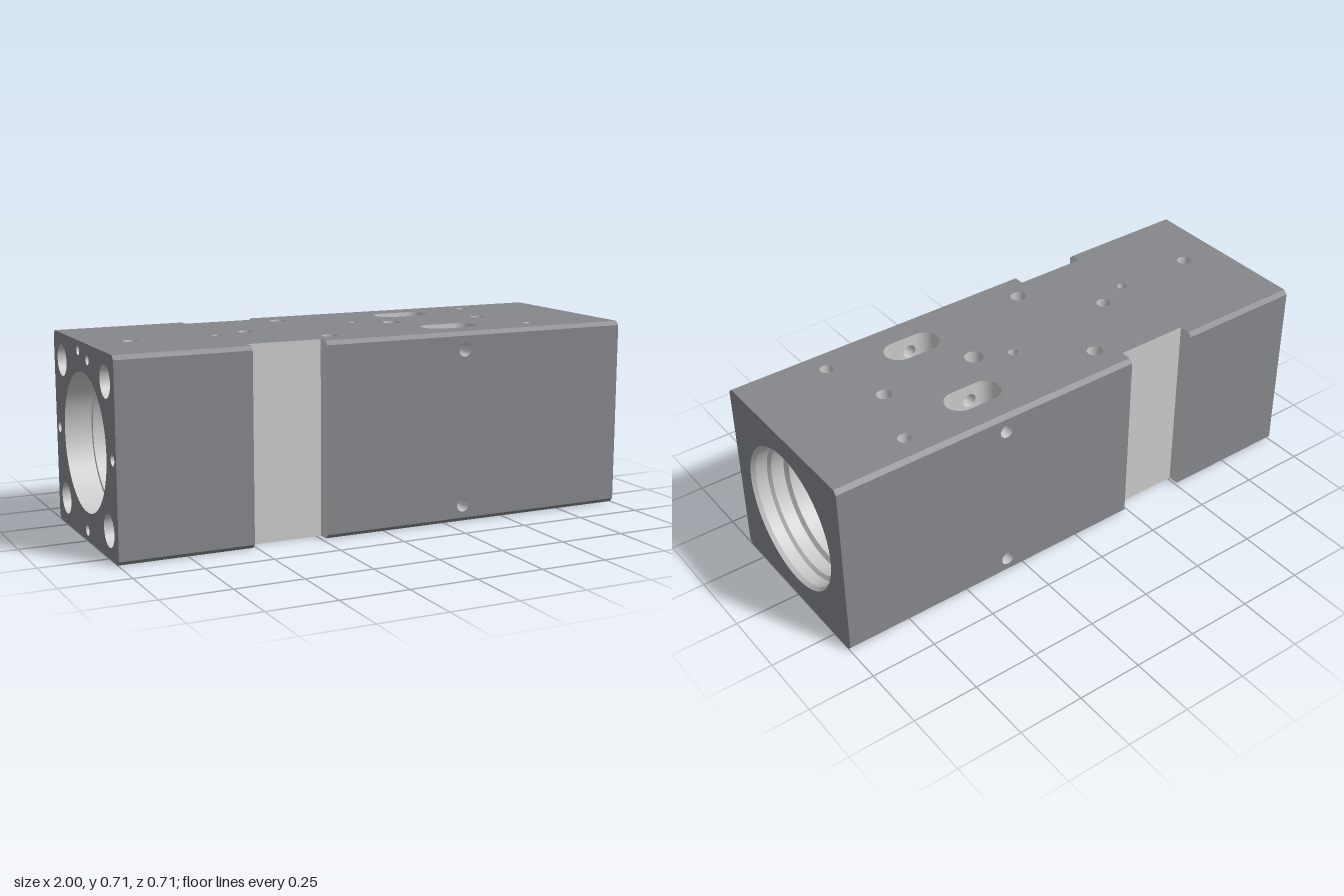
import * as THREE from 'three';
import { ParametricGeometry } from 'three/addons/geometries/ParametricGeometry.js';

const H = 0.355, C = 0.015, N = 0.3;          // half height, edge chamfer, half depth at the waist
const NX0 = -0.51, NX1 = -0.23;               // waist groove along x
const R = 0.23;                               // main bore radius
const SLOT = { x: 0.35, z: 0.19, half: 0.0525, r: 0.0575 };
const PIN = { x: 0.325, y: 0.29, r: 0.026 };  // cross holes

const mat = (color) => new THREE.MeshStandardMaterial({ color, side: THREE.DoubleSide });

export function createModel() {
  const model = new THREE.Group();
  const body = new THREE.Group();
  body.name = 'housing';
  body.position.y = H;
  model.add(body);
  const coated = mat(0x85878c), bare = mat(0xcccccc), dark = mat(0x151515);

  const add = (name, geo, material, parent = body) => {
    const m = new THREE.Mesh(geo, material);
    m.name = name;
    parent.add(m);
    return m;
  };
  const circle = (x, y, r) => new THREE.Path().absarc(x, y, r, 0, Math.PI * 2, true);
  const panel = (pts, holes = []) => {
    const s = new THREE.Shape(pts.map(([x, y]) => new THREE.Vector2(x, y)));
    s.holes.push(...holes);
    return new THREE.ShapeGeometry(s, 32);
  };
  const rect = (x0, x1, y0, y1) => [[x0, y0], [x1, y0], [x1, y1], [x0, y1]];

  // A face frame has its local z pointing out of the block
  const frame = (name, rx, ry) => {
    const g = new THREE.Group();
    g.name = name;
    g.rotation.set(rx, ry, 0);
    body.add(g);
    return g;
  };
  const bore = (name, g, x, y, r, from, to, capMat) => {
    const tube = add(name, new THREE.CylinderGeometry(r, r, from - to, 32, 1, true), bare, g);
    tube.rotation.x = Math.PI / 2;
    tube.position.set(x, y, (from + to) / 2);
    if (capMat) add(name + 'Floor', new THREE.CircleGeometry(r, 32), capMat, g).position.set(x, y, to);
  };
  const slotPath = (z) => {
    const p = new THREE.Path();
    p.absarc(SLOT.x + SLOT.half, z, SLOT.r, -Math.PI / 2, Math.PI / 2, false);
    p.absarc(SLOT.x - SLOT.half, z, SLOT.r, Math.PI / 2, Math.PI * 1.5, false);
    return p;
  };

  // Top and bottom faces: [x, z, radius, depth, floor material]
  const pairs = [-1, 1].map((s) => [-0.16, s * 0.23, 0.03, 0.27, dark]);
  const through = [-1, 1].map((s) => [0.67, s * 0.25, 0.025, 2 * H, null]);
  const screws = [
    [-0.84, 0.05, 0.028, 0.09, bare], [-0.52, 0.05, 0.018, 0.09, bare],
    [-0.39, 0, 0.028, 0.09, bare], [0.08, -0.06, 0.018, 0.09, bare],
    [0.21, 0, 0.035, 0.09, bare], [0.59, 0, 0.028, 0.09, bare],
  ];
  const E = H - C;
  const outline = [[-1, -E], [NX0, -E], [NX0, -N], [NX1, -N], [NX1, -E], [1, -E],
    [1, E], [NX1, E], [NX1, N], [NX0, N], [NX0, E], [-1, E]];
  for (const s of [1, -1]) {
    const g = frame(s > 0 ? 'topFace' : 'bottomFace', -s * Math.PI / 2, 0);
    const holes = [...pairs, ...through, ...(s > 0 ? screws : [])];
    const cuts = holes.map(([x, z, r]) => circle(x, -s * z, r));
    add('plate', panel(outline, [...cuts, slotPath(SLOT.z), slotPath(-SLOT.z)]), coated, g).position.z = H;
    for (const [x, z, r, d, cap] of holes) {
      if (s > 0 || cap) bore('hole', g, x, -s * z, r, H, H - d, cap);
    }
  }

  // Front and back faces, chamfers and waist grooves
  for (const s of [1, -1]) {
    const g = frame(s > 0 ? 'frontFace' : 'backFace', 0, s > 0 ? 0 : Math.PI);
    for (const [a, b] of [[-1, NX0], [NX1, 1]]) {
      const [x0, x1] = s > 0 ? [a, b] : [-b, -a];
      const cuts = b === 1 ? [circle(s * PIN.x, PIN.y, PIN.r), circle(s * PIN.x, -PIN.y, PIN.r)] : [];
      add('sidePlate', panel(rect(x0, x1, -E, E), cuts), coated, g).position.z = H;
      for (const t of [1, -1]) {
        const m = add('chamfer', new THREE.PlaneGeometry(b - a, C * Math.SQRT2), coated, g);
        m.position.set((x0 + x1) / 2, t * (H - C / 2), H - C / 2);
        m.rotation.x = -t * Math.PI / 4;
      }
    }
    const floor = add('waistFloor', new THREE.PlaneGeometry(NX1 - NX0, 2 * H), bare, g);
    floor.position.set(s * (NX0 + NX1) / 2, 0, N);
    for (const x of [NX0, NX1]) {
      const k = x === NX0 ? 1 : -1;
      const q = -k * s;
      const wall = panel([[q * N, -H], [q * E, -H], [q * H, -E], [q * H, E], [q * E, H], [q * N, H]]);
      const m = add('waistWall', wall, bare);
      m.rotation.y = k * Math.PI / 2;
      m.position.x = x;
    }
  }

  // Ends with the bore mouths; the right-hand end carries bolt holes
  const oct = [[-E, -H], [E, -H], [H, -E], [H, E], [E, H], [-E, H], [-H, E], [-H, -E]];
  const bolts = [[-0.05, 0.32, 0.018], [0.06, 0.3, 0.018], [0, -0.316, 0.02], [0.316, 0, 0.02], [-0.316, 0, 0.02]];
  for (const x of [-0.256, 0.256]) for (const y of [-0.256, 0.256]) bolts.push([x, y, 0.058]);
  for (const s of [1, -1]) {
    const g = frame(s > 0 ? 'plainEnd' : 'boltedEnd', 0, s * Math.PI / 2);
    const list = s > 0 ? [] : bolts;
    const cuts = list.map((b) => circle(...b));
    add('endPlate', panel(oct, [circle(0, 0, s > 0 ? 0.273 : 0.25), ...cuts]), coated, g).position.z = 1;
    for (const [x, y, r] of list) bore('boltHole', g, x, y, r, 1, r > 0.05 ? 0.8 : 0.9, bare);
  }

  // Turned surfaces around the x axis, one lathe per step so edges stay sharp
  const turned = (name, pts, material) => {
    const g = new THREE.Group();
    g.name = name;
    g.rotation.z = -Math.PI / 2;
    body.add(g);
    for (let i = 1; i < pts.length; i++) {
      const seg = [pts[i - 1], pts[i]].map(([x, r]) => new THREE.Vector2(r, x));
      add('step', new THREE.LatheGeometry(seg, 96), material, g);
    }
  };
  const sx = SLOT.half + SLOT.r;
  turned('mainBore', [[1, 0.273], [0.985, 0.263], [0.94, 0.263], [0.93, 0.25], [0.88, 0.25],
    [0.87, R], [SLOT.x + sx, R]], bare);
  turned('middleBore', [[SLOT.x - sx, R], [-0.1, R]], bare);
  turned('rearBore', [[-1, 0.25], [-0.9, 0.25], [-0.9, 0.235], [-0.3, 0.235]], bare);
  turned('innerRing', [[-0.1, 0.235], [-0.1, 0.175], [-0.12, 0.154], [-0.28, 0.154],
    [-0.3, 0.175], [-0.3, 0.235]], dark);

  // Bore wall where the slots break through it
  const gap = (x) => {
    const d = Math.max(0, Math.abs(x - SLOT.x) - SLOT.half);
    const h = Math.sqrt(Math.max(0, SLOT.r ** 2 - d * d));
    return [Math.asin((SLOT.z - h) / R), Math.asin(Math.min(1, (SLOT.z + h) / R))];
  };
  for (const base of [0, 1, 2, 3]) {
    add('slottedBore', new ParametricGeometry((u, v, p) => {
      const x = SLOT.x - sx * Math.cos(u * Math.PI);
      const [a, b] = gap(x);
      const half = base % 2 ? Math.PI / 2 - b : a;
      const f = base * Math.PI / 2 + (2 * v - 1) * half;
      p.set(x, R * Math.cos(f), R * Math.sin(f));
    }, 40, 16), bare);
  }

  // Slot walls: rounded ends and flat sides, open to the bore
  for (const sz of [1, -1]) {
    for (const sy of [1, -1]) {
      for (const ex of [1, -1]) {
        add('slotEnd', new ParametricGeometry((u, v, p) => {
          const t = (u - 0.5) * Math.PI;
          const z = SLOT.z + SLOT.r * Math.sin(t);
          const low = Math.sqrt(Math.max(0, R * R - z * z));
          p.set(SLOT.x + ex * (SLOT.half + SLOT.r * Math.cos(t)), sy * (H + (low - H) * v), sz * z);
        }, 24, 1), bare);
      }
      for (const z of [SLOT.z - SLOT.r, SLOT.z + SLOT.r]) {
        const low = Math.sqrt(Math.max(0, R * R - z * z));
        const pts = rect(SLOT.x - SLOT.half, SLOT.x + SLOT.half, sy * low, sy * H);
        add('slotSide', panel(pts, [circle(PIN.x, sy * PIN.y, PIN.r)]), bare).position.z = sz * z;
      }
    }
  }

  // Cross holes, interrupted by the slots
  const zi = SLOT.z - SLOT.r, zo = SLOT.z + SLOT.r;
  for (const y of [PIN.y, -PIN.y]) {
    for (const [a, b] of [[H, zo], [zi, -zi], [-zo, -H]]) bore('crossHole', body, PIN.x, y, PIN.r, a, b, null);
  }
  return model;
}
